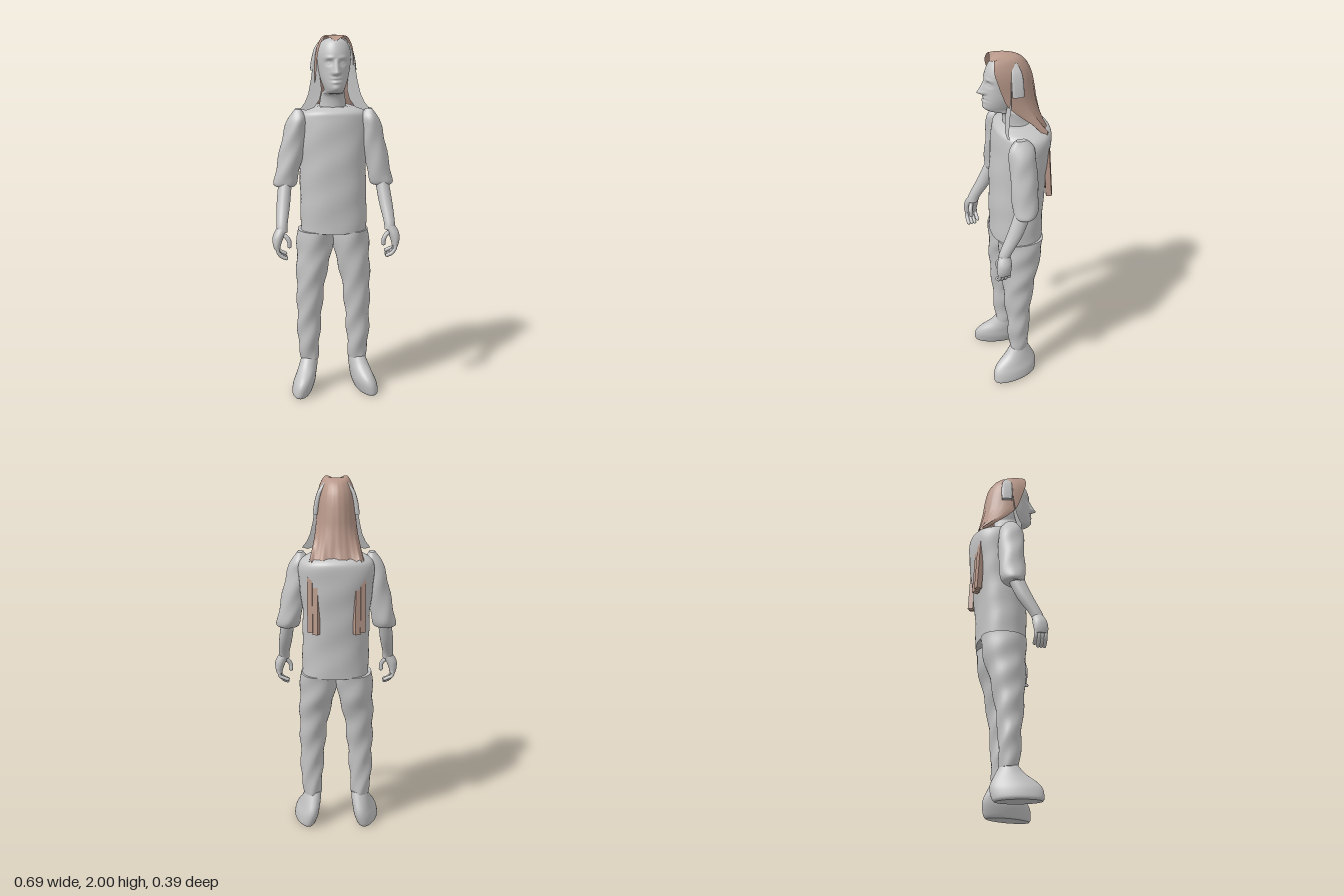
import * as THREE from 'three';

const grey = new THREE.MeshStandardMaterial({ color: 0xc4c4c4, side: THREE.DoubleSide });
grey.name = 'plain grey';
const brown = new THREE.MeshStandardMaterial({ color: 0xb8988a, side: THREE.DoubleSide });
brown.name = 'hair brown';

function mesh(parent, name, geometry, material = grey) {
  const m = new THREE.Mesh(geometry, material);
  m.name = name;
  parent.add(m);
  return m;
}

// Smooth interpolation of rows of numbers
function refine(rows, sub) {
  const out = [];
  const at = (i) => rows[Math.min(rows.length - 1, Math.max(0, i))];
  for (let i = 0; i < rows.length - 1; i++) {
    for (let k = 0; k < sub; k++) {
      const t = k / sub;
      out.push(rows[i].map((p1, c) => {
        const p0 = at(i - 1)[c], p2 = at(i + 1)[c], p3 = at(i + 2)[c];
        return p1 + 0.5 * t * (p2 - p0 + t * (2 * p0 - 5 * p1 + 4 * p2 - p3 + t * (3 * (p1 - p2) + p3 - p0)));
      }));
    }
  }
  out.push(rows[rows.length - 1]);
  return out;
}

// Closed loft through horizontal sections [y, xMin, xMax, zMin, zMax], lowest first
function loft(rows, { seg = 32, sub = 5, rule = null, power = 1 } = {}) {
  const rings = refine(rows, sub), pos = [], idx = [];
  const round = (v) => Math.sign(v) * Math.abs(v) ** power;
  const ring = ([y, x0, x1, z0, z1]) => {
    for (let j = 0; j < seg; j++) {
      const a = (j / seg) * Math.PI * 2;
      const p = new THREE.Vector3((x0 + x1) / 2 + (x1 - x0) / 2 * round(Math.cos(a)), y,
        (z0 + z1) / 2 + (z1 - z0) / 2 * round(Math.sin(a)));
      if (rule) rule(p, a);
      pos.push(p.x, p.y, p.z);
    }
  };
  rings.forEach(ring);
  for (let i = 0; i < rings.length - 1; i++) {
    for (let j = 0; j < seg; j++) {
      const a = i * seg + j, b = i * seg + (j + 1) % seg;
      idx.push(a, a + seg, b, b, a + seg, b + seg);
    }
  }
  // End caps with their own rims, so the edge stays sharp
  [rings[0], rings[rings.length - 1]].forEach((r, top) => {
    const start = pos.length / 3;
    ring(r);
    pos.push((r[1] + r[2]) / 2, r[0], (r[3] + r[4]) / 2);
    for (let j = 0; j < seg; j++) {
      const a = start + j, b = start + (j + 1) % seg;
      idx.push(start + seg, ...(top ? [b, a] : [a, b]));
    }
  });
  const g = new THREE.BufferGeometry();
  g.setAttribute('position', new THREE.Float32BufferAttribute(pos, 3));
  g.setIndex(idx);
  g.computeVertexNormals();
  return g;
}

const mirror = (rows, s) => (s > 0 ? rows : rows.map(([y, a, b, c, d]) => [y, -b, -a, c, d]));
const bump = (v, centre, width) => Math.exp(-(((v - centre) / width) ** 2));

// Soft cloth folds
const folds = (size) => (p, a) => {
  p.x += size * Math.sin(p.y * 38 + a * 2) * Math.cos(a);
  p.z += size * Math.sin(p.y * 31 + a * 3) * Math.sin(a);
};

// Face relief: nose, eye sockets, eyeballs, brow, lips and chin
function faceRule(p) {
  if (p.z < 0.07 || p.y < 1.7) return;
  const x = Math.abs(p.x), y = p.y;
  const nose = y > 1.808 ? Math.max(0, 1 - (y - 1.808) / 0.075) : Math.max(0, 1 - (1.808 - y) / 0.018);
  let d = 0.042 * nose * bump(x, 0, 0.011 + 0.008 * nose);
  d += 0.007 * bump(x, 0.016, 0.008) * bump(y, 1.808, 0.01);
  d -= 0.016 * bump(x, 0.035, 0.02) * bump(y, 1.86, 0.014);
  d += 0.009 * bump(x, 0.036, 0.012) * bump(y, 1.858, 0.008);
  d += 0.006 * bump(x, 0.035, 0.025) * bump(y, 1.886, 0.009);
  d += 0.009 * bump(x, 0, 0.024) * (bump(y, 1.779, 0.007) + bump(y, 1.76, 0.007));
  d -= 0.006 * bump(x, 0, 0.03) * bump(y, 1.7695, 0.004);
  d += 0.006 * bump(x, 0, 0.025) * bump(y, 1.728, 0.014);
  p.z += d;
}

// Hair sheet from U-shaped sections [y, halfWidth, zFront, zBack], top first
function hairSheet(rows) {
  const rings = refine(rows, 4), n = 40, pos = [], idx = [];
  rings.forEach(([y, w, zF, zB], i) => {
    const fall = i / (rings.length - 1);
    for (let j = 0; j <= n; j++) {
      const t = (j / n) * 2 - 1, a = t * 1.9;
      const strand = 0.003 * fall * Math.sin(j * 1.9);
      pos.push(w * Math.sin(a), y + 0.018 * fall ** 6 * Math.sin(j * 0.8),
        zB + (zF - zB) * (1 - Math.cos(a)) / (1 - Math.cos(1.9)) + strand);
    }
  });
  for (let i = 0; i < rings.length - 1; i++) {
    for (let j = 0; j < n; j++) {
      const a = i * (n + 1) + j, b = a + n + 1;
      idx.push(a, a + 1, b, a + 1, b + 1, b);
    }
  }
  const g = new THREE.BufferGeometry();
  g.setAttribute('position', new THREE.Float32BufferAttribute(pos, 3));
  g.setIndex(idx);
  g.computeVertexNormals();
  return g;
}

export function createModel() {
  const model = new THREE.Group();
  model.name = 'standingFigure';

  mesh(model, 'shirt', loft([
    [0.93, -0.178, 0.188, -0.15, 0.125], [1.1, -0.178, 0.185, -0.155, 0.125], [1.3, -0.183, 0.183, -0.175, 0.12],
    [1.45, -0.2, 0.2, -0.19, 0.11], [1.55, -0.2, 0.2, -0.195, 0.102], [1.59, -0.17, 0.17, -0.178, 0.095],
    [1.615, -0.1, 0.1, -0.125, 0.06]], { seg: 56, rule: folds(0.002), power: 0.9 }));

  mesh(model, 'headAndNeck', loft([
    [1.58, -0.088, 0.088, -0.13, 0.06], [1.62, -0.072, 0.072, -0.095, 0.052], [1.68, -0.064, 0.064, -0.06, 0.064],
    [1.698, -0.055, 0.055, -0.055, 0.125], [1.712, -0.054, 0.054, -0.055, 0.152], [1.74, -0.064, 0.064, -0.06, 0.159],
    [1.78, -0.076, 0.076, -0.065, 0.155], [1.83, -0.085, 0.085, -0.07, 0.15], [1.87, -0.089, 0.089, -0.07, 0.15],
    [1.91, -0.088, 0.088, -0.065, 0.146], [1.95, -0.074, 0.074, -0.045, 0.13], [1.975, -0.048, 0.048, -0.01, 0.107],
    [1.987, -0.01, 0.01, 0.04, 0.06]], { seg: 96, sub: 7, rule: faceRule }));

  mesh(model, 'longHair', hairSheet([
    [1.972, 0.004, 0.122, 0.118], [1.994, 0.045, 0.112, 0.045], [1.988, 0.068, 0.116, -0.03],
    [1.945, 0.09, 0.122, -0.075], [1.89, 0.101, 0.108, -0.098], [1.82, 0.104, 0.085, -0.112],
    [1.76, 0.108, 0.06, -0.12], [1.7, 0.116, 0.005, -0.132], [1.64, 0.13, -0.065, -0.146],
    [1.58, 0.145, -0.13, -0.165]]), brown);

  for (const s of [1, -1]) {
    const side = s > 0 ? 'left' : 'right';
    const part = (name, rows, options) => mesh(model, side + name, loft(mirror(rows, s), options));

    // Legs and feet
    part('TrouserLeg', [
      [0.185, 0.088, 0.182, -0.042, 0.06], [0.3, 0.078, 0.2, -0.048, 0.07], [0.42, 0.07, 0.202, -0.052, 0.078],
      [0.6, 0.052, 0.205, -0.075, 0.095], [0.72, 0.03, 0.205, -0.1, 0.102], [0.82, 0.004, 0.202, -0.125, 0.107],
      [0.935, -0.004, 0.197, -0.14, 0.11]], { rule: folds(0.004), sub: 8 });
    part('Shoe', [
      [0, 0.13, 0.225, -0.07, 0.17], [0.015, 0.12, 0.234, -0.083, 0.177], [0.06, 0.105, 0.228, -0.092, 0.175],
      [0.1, 0.1, 0.213, -0.088, 0.152], [0.15, 0.094, 0.197, -0.065, 0.092], [0.2, 0.092, 0.182, -0.04, 0.054]],
    { rule: (p) => { p.x += s * (p.z - 0.03) * 0.18; } });

    // Arms
    part('Sleeve', [
      [1.185, 0.215, 0.315, -0.025, 0.065], [1.2, 0.203, 0.326, -0.045, 0.078], [1.25, 0.19, 0.318, -0.058, 0.082],
      [1.4, 0.155, 0.288, -0.06, 0.083], [1.5, 0.145, 0.265, -0.058, 0.083], [1.56, 0.147, 0.24, -0.05, 0.078],
      [1.605, 0.175, 0.21, -0.012, 0.045]], { rule: folds(0.003) });
    part('Forearm', [
      [0.96, 0.264, 0.32, 0.115, 0.175], [1.0, 0.262, 0.322, 0.095, 0.165], [1.1, 0.243, 0.316, 0.03, 0.118],
      [1.22, 0.228, 0.3, -0.02, 0.07]], {});

    // Hands
    part('Palm', [
      [0.87, 0.305, 0.338, 0.118, 0.186], [0.9, 0.298, 0.345, 0.112, 0.19], [0.94, 0.282, 0.343, 0.108, 0.186],
      [0.98, 0.266, 0.322, 0.11, 0.172]], {});
    const finger = (name, points, radius) => {
      const curve = new THREE.CatmullRomCurve3(points.map(([x, y, z]) => new THREE.Vector3(s * x, y, z)));
      mesh(model, side + name, new THREE.TubeGeometry(curve, 10, radius, 10));
      mesh(model, side + name + 'Tip', new THREE.SphereGeometry(radius, 10, 8)).position.copy(curve.getPoint(1));
    };
    for (let i = 0; i < 4; i++) {
      const z = 0.124 + i * 0.0175, drop = i === 0 ? 0.015 : 0;
      finger('Finger' + (i + 1), [[0.322, 0.89, z], [0.318, 0.855, z], [0.298, 0.83 + drop, z], [0.275, 0.82 + drop, z]], 0.01);
    }
    finger('Thumb', [[0.3, 0.95, 0.15], [0.272, 0.935, 0.163], [0.257, 0.91, 0.168], [0.256, 0.885, 0.166]], 0.012);

    // Grey locks beside the head, with a thin flap down to the shoulder
    part('SideLock', [
      [1.81, 0.098, 0.124, -0.025, 0.035], [1.87, 0.09, 0.116, -0.025, 0.037], [1.93, 0.075, 0.098, -0.02, 0.037],
      [1.975, 0.045, 0.065, -0.002, 0.03]], { seg: 20, power: 0.6 });
    const flap = new THREE.Shape([[0.08, 1.93], [0.1, 1.9], [0.113, 1.84], [0.125, 1.76], [0.14, 1.69], [0.16, 1.645],
      [0.185, 1.612], [0.155, 1.603], [0.11, 1.618], [0.08, 1.66], [0.068, 1.71], [0.078, 1.8], [0.075, 1.88]]
      .map(([x, y]) => new THREE.Vector2(s * x, y)));
    const flapGeometry = new THREE.ShapeGeometry(flap);
    const p = flapGeometry.attributes.position;
    for (let i = 0; i < p.count; i++) p.setZ(i, 0.04 + Math.max(0, 1.8 - p.getY(i)) * 0.2);
    flapGeometry.computeVertexNormals();
    mesh(model, side + 'HairFlap', flapGeometry);

    // Loose strands lying on the back
    [[0.108, 1.375, 0.36], [0.135, 1.355, 0.3]].forEach(([x, y, h], i) => {
      const strand = mesh(model, side + 'BackStrand' + (i + 1), new THREE.BoxGeometry(0.03, h, 0.03), brown);
      strand.position.set(s * x, y, -0.158 + i * 0.006);
      strand.rotation.set(0.06, -s * 0.45, 0);
    });
  }
  return model;
}
